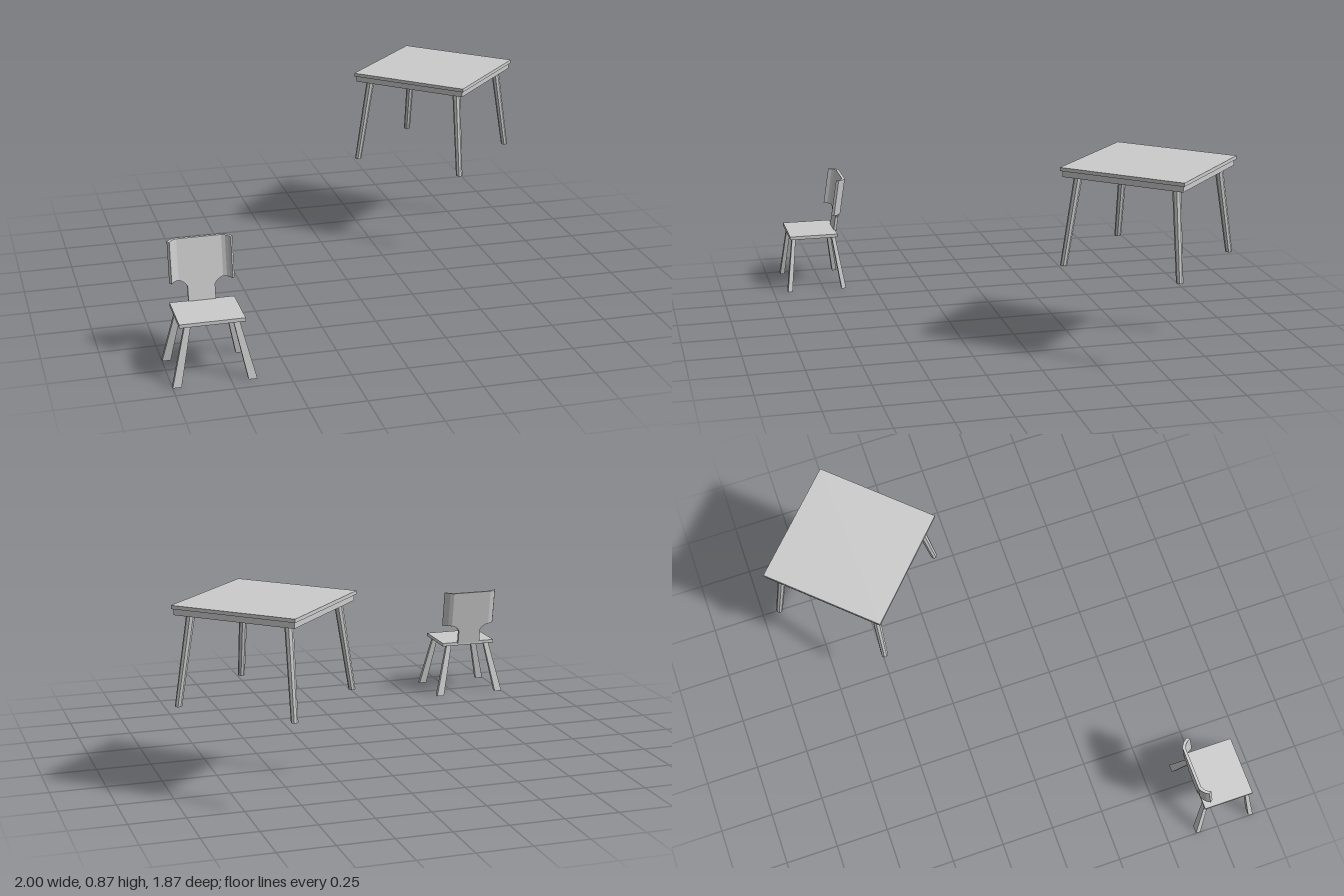
import * as THREE from 'three';

const grey = new THREE.MeshStandardMaterial({ color: 0xcccccc, flatShading: true });

function add(parent, name, geometry, x = 0, y = 0, z = 0) {
  const mesh = new THREE.Mesh(geometry, grey);
  mesh.name = name;
  mesh.position.set(x, y, z);
  parent.add(mesh);
  return mesh;
}

// Moves every vertex of a geometry by a rule
function reshape(geometry, rule) {
  const pos = geometry.attributes.position;
  const v = new THREE.Vector3();
  for (let i = 0; i < pos.count; i++) {
    v.fromBufferAttribute(pos, i);
    rule(v);
    pos.setXYZ(i, v.x, v.y, v.z);
  }
  geometry.computeVertexNormals();
  return geometry;
}

// Splayed, tapered leg from a unit solid; ends are { x, y, z, w, d } and stay level
function splay(geometry, foot, top) {
  return reshape(geometry, (v) => {
    const at = (key) => THREE.MathUtils.lerp(foot[key], top[key], t);
    const t = v.y + 0.5;
    v.set(at('x') + v.x * at('w'), at('y'), at('z') + v.z * at('d'));
  });
}

function createTable() {
  const table = new THREE.Group();
  table.name = 'table';
  add(table, 'tableTop', new THREE.BoxGeometry(0.582, 0.016, 0.582), 0, 0.858, 0);
  add(table, 'tableApron', new THREE.BoxGeometry(0.566, 0.027, 0.566), 0, 0.8365, 0);
  for (const sx of [-1, 1]) for (const sz of [-1, 1]) {
    const unit = new THREE.CylinderGeometry(0.5, 0.5, 1, 8).rotateY(Math.PI / 8);
    add(table, 'tableLeg', splay(unit,
      { x: sx * 0.276, y: 0.425, z: sz * 0.276, w: 0.031, d: 0.031 },
      { x: sx * 0.231, y: 0.825, z: sz * 0.231, w: 0.038, d: 0.038 }));
  }
  table.position.set(0.587, 0, -0.525);
  table.rotation.y = THREE.MathUtils.degToRad(-43.1);
  return table;
}

function createChair() {
  const chair = new THREE.Group();
  chair.name = 'chair';
  chair.position.x = -0.82;
  add(chair, 'seat', new THREE.BoxGeometry(0.28, 0.016, 0.237), 0, 0.265, 0.788);

  // Legs splay mostly sideways
  for (const sx of [-1, 1]) for (const [name, footZ, topZ] of [['frontLeg', 0.919, 0.885], ['backLeg', 0.65, 0.688]]) {
    add(chair, name, splay(new THREE.BoxGeometry(1, 1, 1),
      { x: sx * 0.161, y: 0, z: footZ, w: 0.037, d: 0.022 },
      { x: sx * 0.103, y: 0.258, z: topZ, w: 0.026, d: 0.018 }));
  }

  // Backrest parts share one backward lean
  const lean = (v) => { v.z += 0.62 + (0.545 - v.y) * 0.157; };
  const thick = 0.014;

  // Panel: plan section with forward-curving wings, extruded upwards
  const rear = [[0.1, 0], [0.118, 0.009], [0.131, 0.022], [0.14, 0.037]];
  const inner = [[0.131, 0.049], [0.122, 0.032], [0.111, 0.021], [0.096, thick]];
  const half = [...rear, ...inner];
  const outline = [...half, ...half.map(([x, z]) => [-x, z]).reverse()];
  const section = new THREE.Shape(outline.map(([x, z]) => new THREE.Vector2(x, -z)));
  const panel = new THREE.ExtrudeGeometry(section, { depth: 0.178, bevelEnabled: false });
  panel.rotateX(-Math.PI / 2).translate(0, 0.367, 0);
  add(chair, 'backrestPanel', reshape(panel, lean));

  // Neck: narrow upright flaring into the panel
  const side = [[0.059, 0.267], [0.059, 0.337], [0.067, 0.35], [0.08, 0.36], [0.094, 0.367]];
  const neckShape = new THREE.Shape([...side, ...side.map(([x, y]) => [-x, y]).reverse()]
    .map(([x, y]) => new THREE.Vector2(x, y)));
  const neck = new THREE.ExtrudeGeometry(neckShape, { depth: thick, bevelEnabled: false });
  add(chair, 'backrestNeck', reshape(neck, lean));
  return chair;
}

export function createModel() {
  const model = new THREE.Group();
  model.name = 'tableAndChair';
  model.add(createTable(), createChair());
  return model;
}
